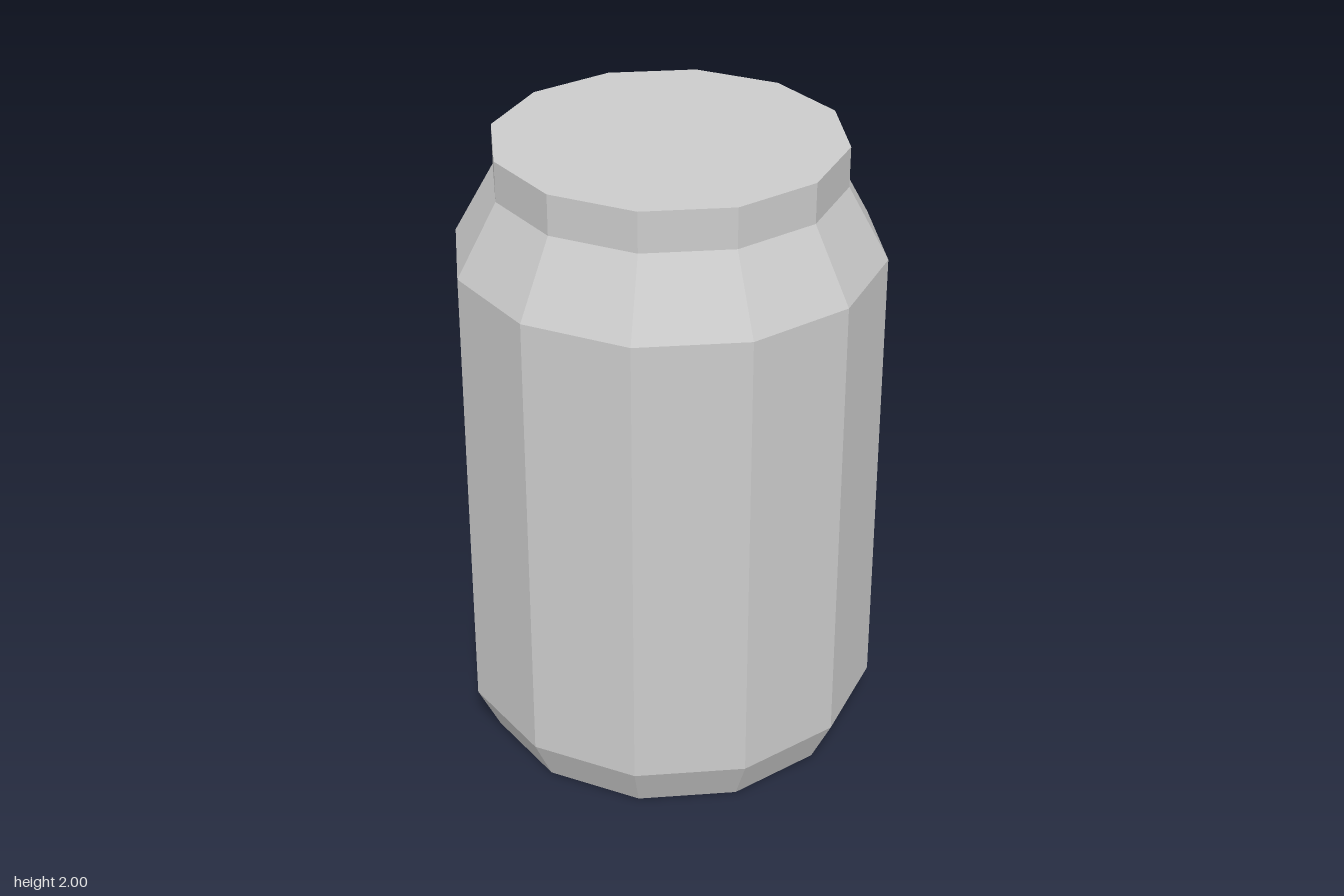
import * as THREE from 'three';

const SIDES = 12;

export function createModel() {
  const group = new THREE.Group();
  group.name = 'can';
  const material = new THREE.MeshStandardMaterial({ color: 0xcccccc, flatShading: true });

  // Closed profile, bottom to top: base, lower bevel, wall, shoulder, neck, lid
  const profile = [
    [0, 0], [0.595, 0], [0.665, 0.15], [0.655, 1.65], [0.53, 1.875], [0.53, 2], [0, 2],
  ].map(([r, y]) => new THREE.Vector2(r, y));

  const body = new THREE.Mesh(new THREE.LatheGeometry(profile, SIDES), material);
  body.name = 'canBody';
  group.add(body);
  return group;
}
